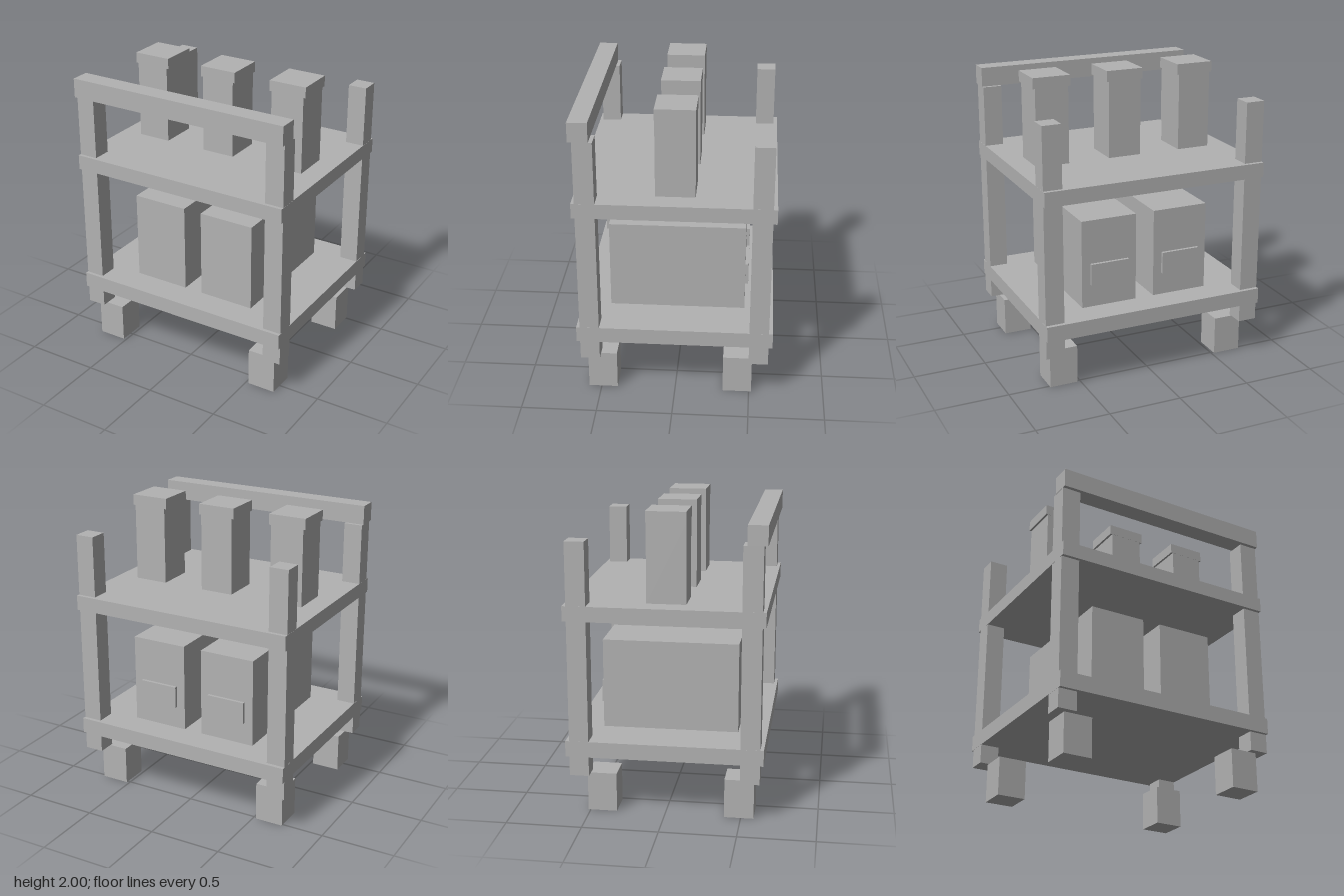
import * as THREE from 'three';

export function createModel() {
  const group = new THREE.Group();
  const grey = new THREE.MeshStandardMaterial({ color: 0xb2b2b2 });
  grey.name = 'grey';

  // Box given by its extents along each axis
  function block(name, [x0, x1], [y0, y1], [z0, z1]) {
    const mesh = new THREE.Mesh(new THREE.BoxGeometry(x1 - x0, y1 - y0, z1 - z0), grey);
    mesh.position.set((x0 + x1) / 2, (y0 + y1) / 2, (z0 + z1) / 2);
    mesh.name = name;
    group.add(mesh);
  }
  const mirror = ([a, b], side) => (side > 0 ? [a, b] : [-b, -a]);

  // Shelves and the front rail
  const width = [-0.778, 0.778];
  block('lowerShelf', width, [0.393, 0.5], [-0.648, 0.648]);
  block('upperShelf', width, [1.305, 1.405], [-0.648, 0.648]);
  block('frontRail', width, [1.82, 1.95], [0.522, 0.65]);

  for (const side of [-1, 1]) {
    const name = side > 0 ? 'left' : 'right';

    // Corner posts, set just inside the shelf ends to avoid coplanar faces
    const postX = mirror([0.649, 0.777], side);
    block(name + 'FrontPost', postX, [0.264, 1.82], [0.497, 0.625]);
    block(name + 'BackPost', postX, [0.264, 1.82], [-0.622, -0.494]);

    // Block casters
    const casterX = mirror([0.52, 0.714], side);
    block(name + 'FrontCaster', casterX, [0, 0.264], [0.391, 0.585]);
    block(name + 'BackCaster', casterX, [0, 0.264], [-0.516, -0.323]);

    // Stored bins with handle plates at the back
    block(name + 'Bin', mirror([0.065, 0.455], side), [0.5, 1.106], [-0.454, 0.454]);
    block(name + 'BinHandle', mirror([0.125, 0.395], side), [0.655, 0.805], [-0.475, -0.454]);
  }

  // Row of capped canisters on the upper shelf
  for (const x of [-0.52, -0.001, 0.518]) {
    block('canister', [x - 0.115, x + 0.115], [1.405, 1.928], [-0.129, 0.129]);
    block('canisterCap', [x - 0.13, x + 0.13], [1.928, 2], [-0.13, 0.13]);
  }

  return group;
}
